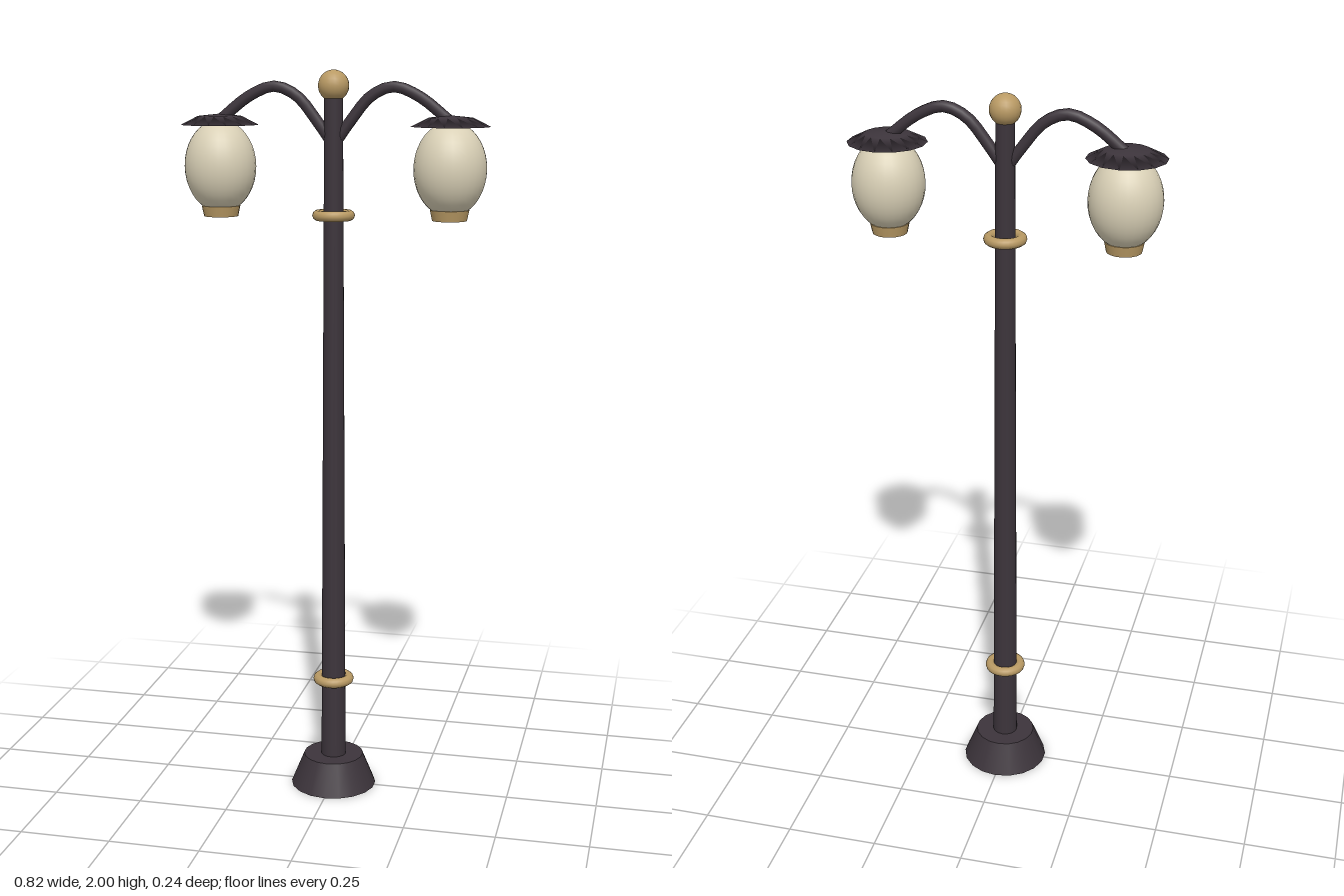
import * as THREE from 'three';

const iron = new THREE.MeshStandardMaterial({ color: 0x3c343b });
iron.name = 'dark iron';
const brass = new THREE.MeshStandardMaterial({ color: 0xb99a64 });
brass.name = 'brass';
const glass = new THREE.MeshStandardMaterial({ color: 0xd9d0b6 });
glass.name = 'cream glass';

function add(parent, name, geometry, material, x = 0, y = 0, z = 0) {
  const mesh = new THREE.Mesh(geometry, material);
  mesh.name = name;
  mesh.position.set(x, y, z);
  parent.add(mesh);
  return mesh;
}

// Lathe from [radius, height] pairs, listed bottom to top
function lathe(points, sides) {
  return new THREE.LatheGeometry(points.map(([r, y]) => new THREE.Vector2(r, y)), sides);
}

export function createModel() {
  const model = new THREE.Group();
  model.name = 'streetLamp';

  // Foot and tapering pole
  add(model, 'base', new THREE.CylinderGeometry(0.084, 0.12, 0.088, 18), iron, 0, 0.044);
  add(model, 'pole', new THREE.CylinderGeometry(0.025, 0.035, 1.86, 16), iron, 0, 1.0);

  // Brass collars and finial
  for (const [name, y] of [['lowerCollar', 0.315], ['upperCollar', 1.622]]) {
    add(model, name, new THREE.TorusGeometry(0.043, 0.014, 10, 32), brass, 0, y).rotation.x = Math.PI / 2;
  }
  add(model, 'finial', new THREE.SphereGeometry(0.041, 20, 14), brass, 0, 1.959);

  // Two mirrored arms, each carrying a lantern
  for (const side of [1, -1]) {
    const arm = new THREE.Group();
    arm.name = side > 0 ? 'leftLamp' : 'rightLamp';
    model.add(arm);

    const path = new THREE.CatmullRomCurve3(
      [[0, 1.805], [0.045, 1.868], [0.1, 1.933], [0.16, 1.957], [0.228, 1.932], [0.312, 1.867]]
        .map(([x, y]) => new THREE.Vector3(side * x, y, 0)));
    add(arm, 'arm', new THREE.TubeGeometry(path, 16, 0.015, 10), iron);

    const x = side * 0.311;
    add(arm, 'cap', lathe([[0, 1.856], [0.104, 1.856], [0.058, 1.879], [0, 1.885]], 14), iron, x);
    add(arm, 'globe', new THREE.SphereGeometry(0.096, 28, 20), glass, x, 1.747).scale.y = 1.28;
    add(arm, 'globeHolder', new THREE.CylinderGeometry(0.052, 0.046, 0.028, 20), brass, x, 1.628);
  }
  return model;
}
